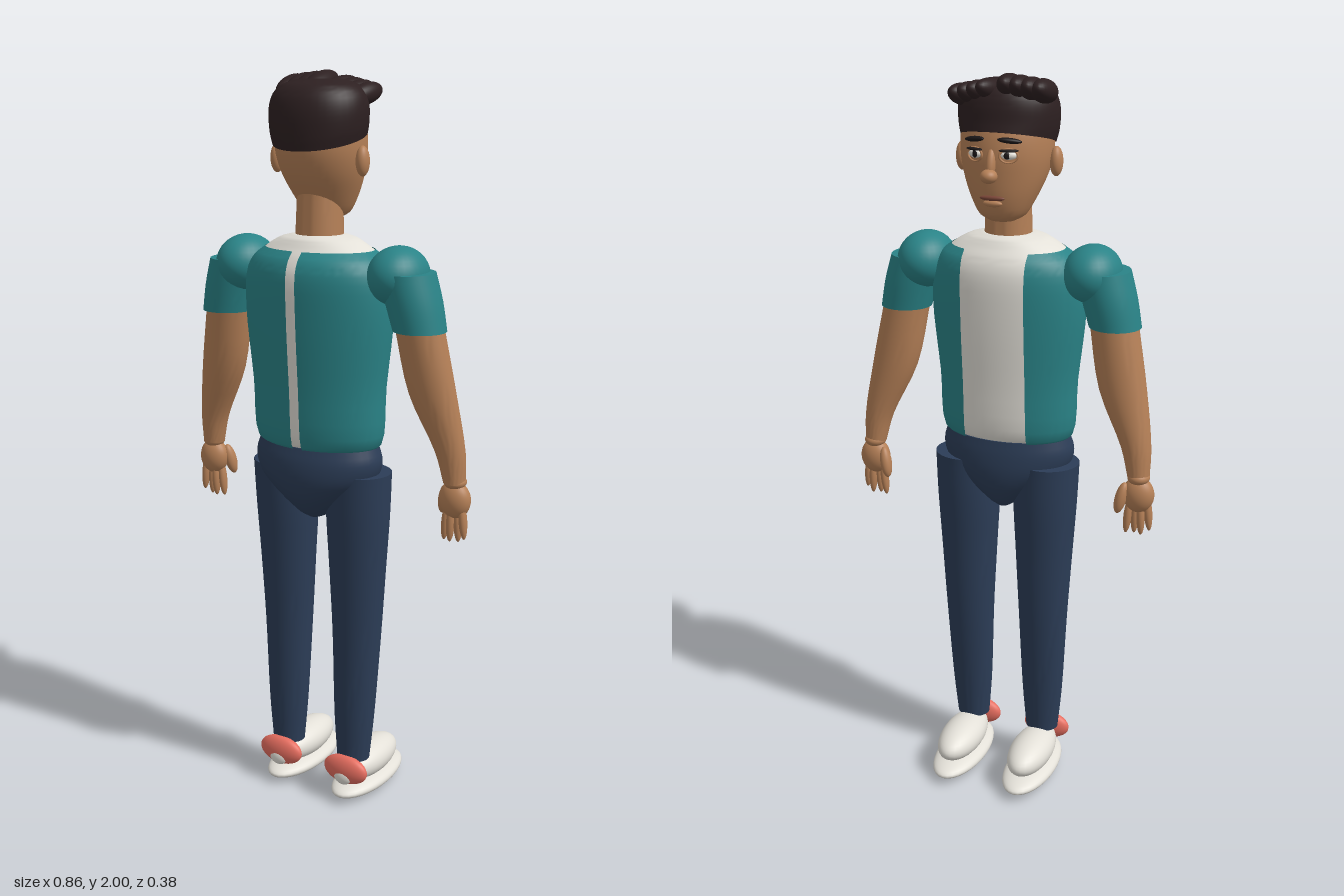
import * as THREE from 'three';
import { toCreasedNormals } from 'three/addons/utils/BufferGeometryUtils.js';

const mat = (name, color, side = THREE.FrontSide) => {
  const m = new THREE.MeshStandardMaterial({ color, side });
  m.name = name;
  return m;
};

export function createModel() {
  const skin = mat('skin', 0xb58057), hair = mat('hair', 0x2d2021), white = mat('white', 0xe3e0d8);
  const teal = mat('teal', 0x2a8387, THREE.DoubleSide), navy = mat('navy', 0x2c3d57);
  const coral = mat('coral', 0xe56d5f), dark = mat('dark', 0x1b1718), lip = mat('lip', 0x7a4638);
  const model = new THREE.Group();

  const add = (name, geo, material, parent = model) => {
    const m = new THREE.Mesh(geo, material);
    m.name = name;
    parent.add(m);
    return m;
  };
  // Ellipsoid from centre, radii and rotation
  const blob = (name, material, c, r, rot = [0, 0, 0], parent = model) => {
    const m = add(name, new THREE.SphereGeometry(1, 32, 20), material, parent);
    m.position.set(...c);
    m.scale.set(...r);
    m.rotation.set(...rot);
    return m;
  };
  // Stacked ellipses [y, cx, cz, rx, rz], rising in y; span(rx) limits the angle, tilt(y, z) lifts y
  const loft = (rows, { span = () => [0, Math.PI * 2], caps = true, tilt = () => 0, seg = 40 } = {}) => {
    const curves = [1, 2, 3, 4].map(k => new THREE.CatmullRomCurve3(
      rows.map(r => new THREE.Vector3(r[0], r[k], 0)), false, 'centripetal'));
    const n = (rows.length - 1) * 4, rings = [];
    for (let i = 0; i <= n; i++) {
      const p = curves.map(c => c.getPoint(i / n));
      rings.push([p[0].x, ...p.map(v => Math.max(v.y, -1))]);
    }
    if (caps) {
      rings.unshift([...rings[0].slice(0, 3), 1e-4, 1e-4]);
      const t = rings[rings.length - 1];
      rings.push([...t.slice(0, 3), 1e-4, 1e-4]);
    }
    const pos = [], idx = [];
    rings.forEach(([y, cx, cz, rx, rz], i) => {
      const [a0, a1] = span(rx);
      for (let j = 0; j <= seg; j++) {
        const a = a0 + (a1 - a0) * j / seg, z = cz + rz * Math.cos(a);
        pos.push(cx + rx * Math.sin(a), y + tilt(y, z), z);
        if (i && j) {
          const d = i * (seg + 1) + j, c = d - 1, b = d - seg - 1, e = b - 1;
          idx.push(e, b, d, e, d, c);
        }
      }
    });
    const g = new THREE.BufferGeometry();
    g.setAttribute('position', new THREE.Float32BufferAttribute(pos, 3));
    g.setIndex(idx);
    return toCreasedNormals(g, 0.8);
  };

  // Head and neck (the face looks toward -z)
  add('head', loft([
    [1.63, 0, 0.01, 0.035, 0.035], [1.645, 0, 0.01, 0.06, 0.057], [1.69, 0, 0.018, 0.086, 0.083],
    [1.75, 0, 0.032, 0.11, 0.105], [1.81, 0, 0.04, 0.121, 0.115], [1.88, 0, 0.045, 0.115, 0.105],
    [1.94, 0, 0.05, 0.07, 0.07]]), skin);
  add('neck', loft([[1.55, 0, 0.05, 0.064, 0.064], [1.62, 0, 0.048, 0.062, 0.062], [1.7, 0, 0.045, 0.06, 0.06]]), skin);
  blob('noseTip', skin, [0, 1.755, -0.088], [0.022, 0.018, 0.023]);
  blob('noseBridge', skin, [0, 1.785, -0.074], [0.013, 0.04, 0.016], [0.25, 0, 0]);
  blob('mouth', lip, [0, 1.697, -0.065], [0.034, 0.007, 0.008]);
  blob('lowerLip', skin, [0, 1.683, -0.062], [0.026, 0.009, 0.01]);

  // Hair cap with a hairline that rises toward the forehead
  add('hairCap', loft([
    [1.805, 0, 0.046, 0.123, 0.117], [1.84, 0, 0.05, 0.13, 0.117], [1.9, 0, 0.052, 0.132, 0.115],
    [1.94, 0, 0.05, 0.122, 0.105], [1.965, 0, 0.045, 0.1, 0.088], [1.978, 0, 0.04, 0.06, 0.055]],
  { tilt: (y, z) => Math.max(0, 1 - (y - 1.805) / 0.16) * (0.163 - z) * 0.24 }), hair);
  // Swept locks of the quiff
  const quiff = new THREE.Group();
  quiff.name = 'quiff';
  model.add(quiff);
  for (let i = 0; i < 4; i++) {
    blob('leftLock', hair, [0.022 + i * 0.026, 1.957 - i * 0.005, -0.012], [0.027, 0.027, 0.07 - i * 0.003], [0.2, -0.12, 0], quiff);
    blob('rightLock', hair, [-0.025 - i * 0.029, 1.966 - i * 0.003, 0.002], [0.031, 0.03, 0.083 - i * 0.003], [0.2, 0.1, 0], quiff);
  }

  for (const s of [1, -1]) {
    const side = new THREE.Group();
    side.name = s > 0 ? 'leftSide' : 'rightSide';
    model.add(side);
    const part = (name, m, c, r, rot = [0, 0, 0]) =>
      blob(name, m, [c[0] * s, c[1], c[2]], r, [rot[0], rot[1] * s, rot[2] * s], side);
    const tube = (name, m, rows, opt) =>
      add(name, loft(rows.map(([y, x, ...r]) => [y, x * s, ...r]), opt), m, side);

    // Ear, eye and brow
    part('ear', skin, [0.129, 1.78, 0.05], [0.017, 0.038, 0.021]);
    part('eye', white, [0.045, 1.806, -0.064], [0.021, 0.011, 0.011], [0, -0.35, 0]);
    part('pupil', dark, [0.043, 1.806, -0.074], [0.008, 0.009, 0.003], [0, -0.35, 0]);
    part('upperLash', dark, [0.046, 1.818, -0.069], [0.025, 0.004, 0.01], [0, -0.35, 0]);
    part('eyebrow', dark, [0.047, 1.842, -0.065], [0.031, 0.007, 0.01], [0, -0.35, -0.1]);
    const lid = add('eyeSocket', new THREE.TorusGeometry(0.023, 0.003, 8, 32), skin, side);
    lid.position.set(0.045 * s, 1.805, -0.068);
    lid.scale.y = 0.75;
    lid.rotation.y = -0.35 * -s * -1;

    // Jacket half, open at the front and split down the back
    tube('jacketHalf', teal, [
      [1.028, 0, 0.052, 0.155, 0.098], [1.045, 0, 0.052, 0.182, 0.113], [1.2, 0, 0.052, 0.194, 0.125],
      [1.4, 0, 0.052, 0.213, 0.137], [1.5, 0, 0.052, 0.205, 0.137], [1.535, 0, 0.05, 0.183, 0.126],
      [1.556, 0, 0.048, 0.155, 0.108]],
    { caps: false, span: rx => {
      const a = Math.asin(0.014 / rx), b = Math.PI - Math.asin(0.088 / rx);
      return s > 0 ? [a, b] : [Math.PI * 2 - b, Math.PI * 2 - a];
    } });

    // Shoulder, sleeve and arm
    part('shoulder', teal, [0.234, 1.5, 0.046], [0.077, 0.076, 0.094]);
    tube('sleeve', teal, [
      [1.366, 0.298, 0.047, 0.069, 0.07], [1.44, 0.28, 0.048, 0.073, 0.077], [1.512, 0.258, 0.05, 0.075, 0.08]]);
    tube('arm', skin, [
      [0.97, 0.387, 0.008, 0.029, 0.031], [1.05, 0.376, 0.014, 0.04, 0.037], [1.2, 0.33, 0.03, 0.064, 0.051],
      [1.38, 0.295, 0.045, 0.064, 0.06]]);

    // Hand with fingers and thumb
    part('wrist', skin, [0.388, 0.972, 0.006], [0.03, 0.02, 0.032]);
    part('palm', skin, [0.389, 0.923, 0.006], [0.043, 0.05, 0.033]);
    for (let i = 0; i < 4; i++) {
      part('finger', skin, [0.362 + i * 0.018, 0.86 + (i === 3 ? 0.012 : 0), 0.004 + (i % 2) * 0.008],
        [0.011, 0.052, 0.013], [0, 0, 0.06 * (i - 1.5)]);
    }
    part('thumb', skin, [0.347, 0.915, -0.015], [0.016, 0.044, 0.018], [0.15, 0, -0.2]);

    // Trouser leg
    tube('leg', navy, [
      [0.125, 0.109, 0.048, 0.047, 0.041], [0.25, 0.11, 0.045, 0.058, 0.048], [0.5, 0.112, 0.037, 0.07, 0.06],
      [0.7, 0.113, 0.037, 0.081, 0.07], [0.85, 0.114, 0.038, 0.089, 0.08], [0.967, 0.117, 0.04, 0.09, 0.085]]);

    // Shoe
    part('sole', white, [0.109, 0.033, -0.031], [0.071, 0.029, 0.16]);
    part('shoeUpper', white, [0.109, 0.087, -0.036], [0.06, 0.049, 0.127]);
    part('heelTab', coral, [0.109, 0.1, 0.09], [0.069, 0.042, 0.025]);
    part('heelPatch', white, [0.109, 0.083, 0.105], [0.028, 0.023, 0.012]);
  }

  // Shirt with a rounded neckline
  add('shirt', loft([
    [1.03, 0, 0.052, 0.15, 0.094], [1.05, 0, 0.052, 0.178, 0.109], [1.2, 0, 0.052, 0.19, 0.121],
    [1.4, 0, 0.052, 0.208, 0.133], [1.5, 0, 0.052, 0.2, 0.132], [1.54, 0, 0.05, 0.172, 0.116],
    [1.565, 0, 0.05, 0.14, 0.096], [1.583, 0, 0.05, 0.105, 0.082], [1.592, 0, 0.05, 0.066, 0.066]]), white);

  // Trouser seat
  add('seat', loft([
    [0.83, 0, 0.045, 0.022, 0.045], [0.85, 0, 0.048, 0.05, 0.075], [0.9, 0, 0.052, 0.118, 0.106],
    [0.95, 0, 0.054, 0.172, 0.117], [1.0, 0, 0.054, 0.187, 0.115], [1.04, 0, 0.052, 0.176, 0.106]]), navy);

  return model;
}
